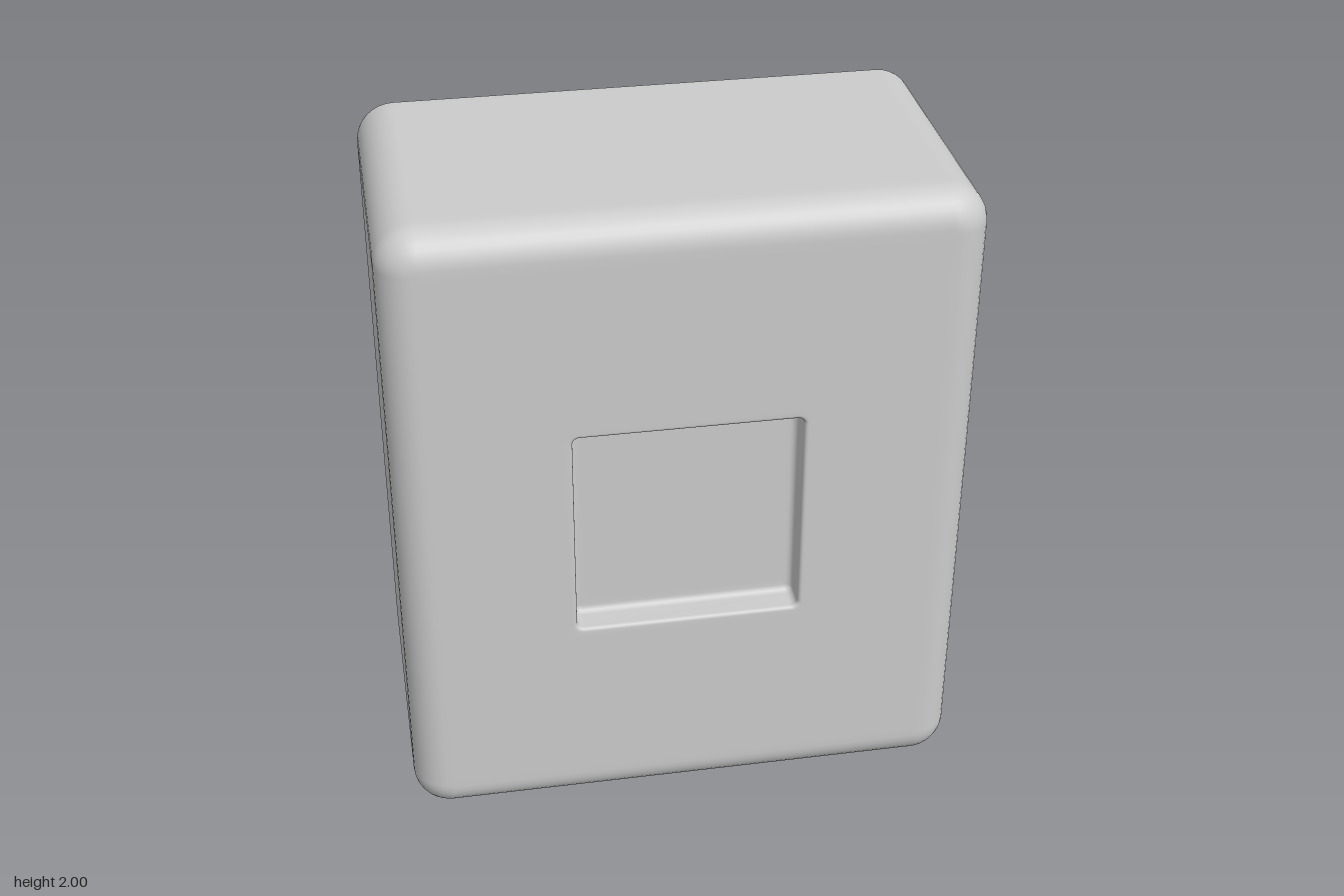
import * as THREE from 'three';

const CORNER_STEPS = 8;

// Rounded rectangle outline, counter-clockwise seen from the front
function outline(halfW, halfH, radius, z) {
  const points = [];
  for (let corner = 0; corner < 4; corner++) {
    const sx = corner === 0 || corner === 3 ? 1 : -1;
    const sy = corner < 2 ? 1 : -1;
    for (let i = 0; i <= CORNER_STEPS; i++) {
      const a = (corner + i / CORNER_STEPS) * Math.PI / 2;
      points.push(sx * (halfW - radius) + radius * Math.cos(a),
        1 + sy * (halfH - radius) + radius * Math.sin(a), z);
    }
  }
  return points;
}

// Skin a sequence of outlines from back to front
function loft(rings) {
  const n = 4 * (CORNER_STEPS + 1);
  const index = [];
  for (let r = 0; r < rings.length - 1; r++) {
    for (let j = 0; j < n; j++) {
      const k = (j + 1) % n;
      const a = r * n + j, b = r * n + k, c = a + n, d = b + n;
      index.push(a, b, d, a, d, c);
    }
  }
  const geometry = new THREE.BufferGeometry();
  geometry.setAttribute('position', new THREE.Float32BufferAttribute(rings.flat(), 3));
  geometry.setIndex(index);
  geometry.computeVertexNormals();
  return geometry;
}

export function createModel() {
  const W = 0.85, H = 1, D = 0.46;
  const cornerR = 0.115, backR = 0.03, frontR = 0.1;
  const hole = 0.335, depth = 0.09, rimR = 0.012, floorR = 0.02;
  const rings = [];
  const body = (inset, z) =>
    rings.push(outline(W - inset, H - inset, Math.max(cornerR - inset, 0.01), z));
  const recess = (half, radius, z) => rings.push(outline(half, half, radius, z));
  const arc = (steps, fn) => {
    for (let i = 0; i <= steps; i++) {
      const a = i / steps * Math.PI / 2;
      fn(Math.sin(a), Math.cos(a));
    }
  };

  // Flat back with a small rounded edge
  recess(0, 0, -D);
  body(backR + 0.03, -D);
  arc(5, (s, c) => body(backR * (1 - s), -D + backR * (1 - c)));

  // Straight sides, then the broad rounded front edge
  body(0, -D + backR + 0.03);
  body(0, D - frontR - 0.03);
  arc(8, (s, c) => body(frontR * (1 - c), D - frontR * (1 - s)));
  body(frontR + 0.03, D);

  // Square recess: soft rim, walls, filleted floor
  recess(hole + 0.03, 0.03, D);
  arc(4, (s, c) => recess(hole + rimR * (1 - s), 0.02 + rimR * (1 - s), D - rimR * (1 - c)));
  arc(4, (s, c) => recess(hole - floorR * (1 - c), 0.022 - floorR * (1 - c),
    D - depth + floorR * (1 - s)));
  recess(hole - floorR - 0.02, 0.002, D - depth);
  recess(0, 0, D - depth);

  const block = new THREE.Mesh(loft(rings), new THREE.MeshStandardMaterial({ color: 0xcccccc }));
  block.name = 'recessedBlock';

  const model = new THREE.Group();
  model.name = 'blockWithSquareRecess';
  model.add(block);
  return model;
}
